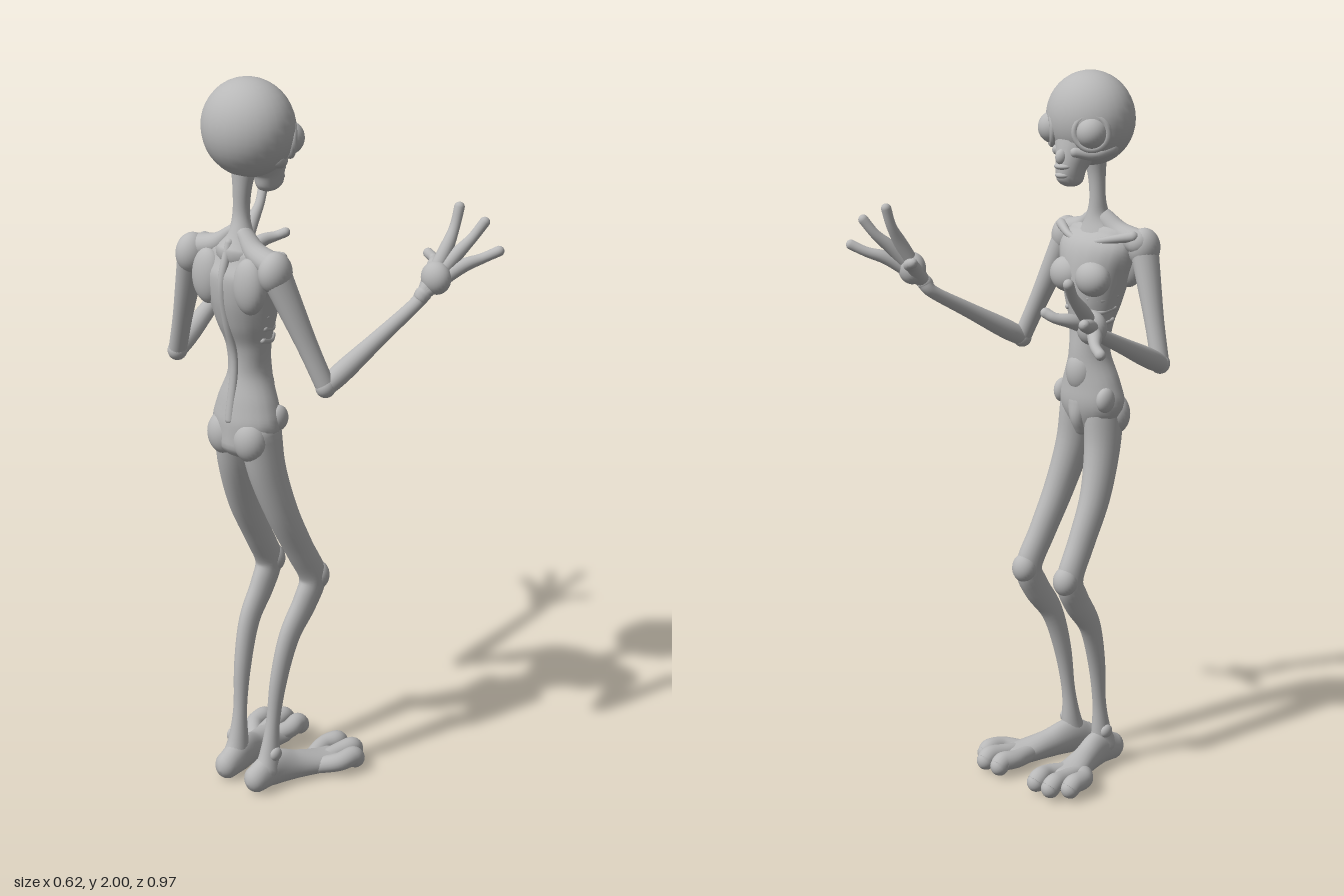
import * as THREE from 'three';

const skin = new THREE.MeshStandardMaterial({ color: 0xb8b8b8 });
skin.name = 'grey skin';
const MID = 0.036; // z of the body's own centre plane

// Loft with rounded ends. Points are [x, y, z, ra, rb]; rb lies along z.
function loftGeometry(pts, seg = 20, steps = 6, endCap = 1) {
  const pos = new THREE.CatmullRomCurve3(pts.map(p => new THREE.Vector3(p[0], p[1], p[2])), false, 'catmullrom');
  const rad = new THREE.CatmullRomCurve3(pts.map(p => new THREE.Vector3(p[3], p[4], 0)), false, 'catmullrom');
  const n = (pts.length - 1) * steps, rings = [];
  for (let i = 5; i > 0; i--) rings.push([0, -i * Math.PI / 10]);
  for (let i = 0; i <= n; i++) rings.push([i / n, 0]);
  for (let i = 1; i <= 5; i++) rings.push([1, i * Math.PI / 10]);
  const verts = [], index = [];
  rings.forEach(([t, a], k) => {
    const T = pos.getTangent(t), r = rad.getPoint(t), P = pos.getPoint(t);
    const B = new THREE.Vector3(0, 0, 1).addScaledVector(T, -T.z).normalize();
    const A = B.clone().cross(T);
    P.addScaledVector(T, Math.sin(a) * Math.min(r.x, r.y) * endCap);
    const c = Math.max(Math.cos(a), 0.002);
    for (let j = 0; j < seg; j++) {
      const th = j / seg * Math.PI * 2;
      const v = P.clone().addScaledVector(A, r.x * c * Math.cos(th)).addScaledVector(B, r.y * c * Math.sin(th));
      verts.push(v.x, v.y, v.z);
      if (k < rings.length - 1) {
        const a0 = k * seg + j, a1 = k * seg + (j + 1) % seg;
        index.push(a0, a1, a0 + seg, a1, a1 + seg, a0 + seg);
      }
    }
  });
  const g = new THREE.BufferGeometry();
  g.setAttribute('position', new THREE.Float32BufferAttribute(verts, 3));
  g.setIndex(index);
  g.computeVertexNormals();
  return g;
}

export function createModel() {
  const root = new THREE.Group();
  root.name = 'figure';
  const add = (name, geo, parent = root) => {
    const m = new THREE.Mesh(geo, skin);
    m.name = name;
    parent.add(m);
    return m;
  };
  const loft = (name, pts, parent, cap = 1) => add(name, loftGeometry(pts, 20, 6, cap), parent);
  const ball = (name, p, r, parent) => {
    const m = add(name, new THREE.SphereGeometry(1, 28, 20), parent);
    m.position.set(...p);
    m.scale.set(...r);
    return m;
  };

  // Head
  const head = new THREE.Group();
  head.name = 'head';
  root.add(head);
  ball('skull', [-0.2, 1.872, MID], [0.114, 0.128, 0.13], head);
  loft('muzzle', [
    [-0.165, 1.83, MID, 0.07, 0.085], [-0.142, 1.785, MID, 0.055, 0.06],
    [-0.128, 1.75, MID, 0.046, 0.043], [-0.123, 1.718, MID, 0.042, 0.033]], head, 0.8);
  ball('nose', [-0.092, 1.775, MID], [0.019, 0.022, 0.016], head);
  ball('upperLip', [-0.1, 1.75, MID], [0.025, 0.011, 0.028], head);
  ball('lowerLip', [-0.1, 1.726, MID], [0.024, 0.011, 0.024], head);
  for (const s of [1, -1]) {
    ball('eye', [-0.133, 1.845, MID + s * 0.075], [0.043, 0.044, 0.043], head);
    const rim = add('eyeRim', new THREE.TorusGeometry(0.045, 0.01, 10, 32), head);
    rim.position.set(-0.127, 1.845, MID + s * 0.078);
    rim.lookAt(0.1, 1.83, MID + s * 0.25);
    loft('cheekbone', [[-0.11, 1.79, MID + s * 0.035, 0.015, 0.015],
      [-0.15, 1.785, MID + s * 0.065, 0.018, 0.018], [-0.19, 1.8, MID + s * 0.09, 0.02, 0.02]], head);
  }

  // Neck and torso
  loft('neck', [
    [-0.215, 1.79, MID, 0.035, 0.04], [-0.222, 1.72, MID - 0.002, 0.025, 0.026],
    [-0.224, 1.65, MID - 0.004, 0.023, 0.023], [-0.23, 1.6, MID, 0.034, 0.035],
    [-0.236, 1.555, MID, 0.055, 0.07]]);
  loft('torso', [
    [-0.225, 1.02, MID, 0.065, 0.075], [-0.212, 1.08, MID, 0.075, 0.104],
    [-0.207, 1.14, MID, 0.07, 0.09], [-0.2, 1.22, MID, 0.06, 0.058],
    [-0.205, 1.3, MID, 0.057, 0.065], [-0.213, 1.37, MID, 0.075, 0.085],
    [-0.22, 1.44, MID, 0.085, 0.105], [-0.228, 1.51, MID, 0.078, 0.125],
    [-0.238, 1.555, MID, 0.045, 0.11]], root, 0.6);
  loft('groin', [[-0.165, 1.09, MID, 0.03, 0.045], [-0.165, 1.045, MID, 0.032, 0.028],
    [-0.18, 1.01, MID, 0.03, 0.02]]);
  ball('belly', [-0.168, 1.17, MID], [0.04, 0.06, 0.045]);
  loft('spine', [[-0.27, 1.58, MID, 0.014, 0.012], [-0.3, 1.48, MID, 0.012, 0.012],
    [-0.283, 1.37, MID, 0.012, 0.012], [-0.258, 1.26, MID, 0.01, 0.012], [-0.277, 1.1, MID, 0.012, 0.014]]);
  for (const s of [1, -1]) {
    const z = d => MID + s * d;
    ball('chestMuscle', [-0.163, 1.44, z(0.05)], [0.043, 0.05, 0.055]);
    ball('shoulderBlade', [-0.275, 1.48, z(0.075)], [0.035, 0.075, 0.05]);
    ball('buttock', [-0.248, 1.045, z(0.048)], [0.044, 0.06, 0.05]);
    ball('hipBone', [-0.18, 1.1, z(0.085)], [0.03, 0.035, 0.022]);
    loft('collarbone', [[-0.178, 1.53, z(0.015), 0.011, 0.011],
      [-0.185, 1.545, z(0.07), 0.01, 0.01], [-0.225, 1.56, z(0.14), 0.015, 0.015]]);
    loft('trapezius', [[-0.235, 1.6, z(0.02), 0.026, 0.02],
      [-0.245, 1.56, z(0.07), 0.032, 0.03], [-0.25, 1.54, z(0.14), 0.038, 0.035]]);
    for (let i = 0; i < 3; i++) // faint ribs
      loft('rib', [[-0.155, 1.385 - i * 0.035, z(0.04), 0.008, 0.008],
        [-0.18, 1.38 - i * 0.035, z(0.068 - i * 0.006), 0.008, 0.008],
        [-0.22, 1.39 - i * 0.035, z(0.083 - i * 0.008), 0.008, 0.008]]);
  }

  // Arms and hands: each pose is given by its joints and fingertips, thumb first
  const arms = [
    { name: 'left', shoulder: [-0.25, 1.525, 0.178], elbow: [-0.175, 1.225, 0.285], wrist: [0.115, 1.39, 0.332],
      palm: [0.165, 1.46, 0.362],
      tips: [[0.235, 1.495, 0.275], [0.25, 1.635, 0.365], [0.28, 1.6, 0.427], [0.292, 1.527, 0.468]] },
    { name: 'right', shoulder: [-0.265, 1.525, -0.108], elbow: [-0.23, 1.225, -0.208], wrist: [0.1, 1.375, -0.295],
      palm: [0.155, 1.405, -0.335],
      tips: [[0.245, 1.445, -0.26], [0.293, 1.545, -0.393], [0.293, 1.452, -0.45], [0.262, 1.375, -0.475]] }];
  for (const arm of arms) {
    const g = new THREE.Group();
    g.name = arm.name + 'Arm';
    root.add(g);
    const mix = (a, b, t) => a.map((v, i) => v + (b[i] - v) * t);
    const { shoulder: S, elbow: E, wrist: W, palm: P } = arm;
    ball('shoulder', S, [0.047, 0.055, 0.042], g);
    loft('upperArm', [[...S, 0.043, 0.036], [...mix(S, E, 0.3), 0.036, 0.031],
      [...mix(S, E, 0.65), 0.029, 0.025], [...E, 0.026, 0.024]], g);
    ball('elbow', E, [0.028, 0.028, 0.026], g);
    loft('forearm', [[...E, 0.025, 0.025], [...mix(E, W, 0.2), 0.028, 0.028],
      [...mix(E, W, 0.6), 0.022, 0.022], [...W, 0.018, 0.019], [...mix(W, P, 0.4), 0.022, 0.022]], g);
    // Palm spans from the wrist to the knuckles
    ball('palm', P, [0.036, 0.045, 0.043], g);
    arm.tips.forEach((tip, i) => {
      const knuckle = mix(P, tip, i ? 0.36 : 0.4);
      const bend = mix(P, tip, 0.7);
      bend[0] += i ? 0.008 : 0.014;
      loft(i ? 'finger' : 'thumb', [[...mix(W, P, 0.45), 0.019, 0.019], [...knuckle, 0.019, 0.019],
        [...bend, 0.014, 0.014], [...tip, 0.014, 0.014]], g);
    });
  }

  // Legs and feet
  for (const side of [1, -1]) {
    const g = new THREE.Group();
    g.name = side > 0 ? 'leftLeg' : 'rightLeg';
    root.add(g);
    const place = p => side > 0 ? p : [p[0], p[1], 0.086 - p[2], ...p.slice(3)];
    const placeToe = p => side > 0 ? p : [p[0], p[1], 0.07 - p[2], ...p.slice(3)];
    loft('leg', [
      [-0.217, 1.06, 0.09, 0.064, 0.048], [-0.202, 0.95, 0.1, 0.055, 0.046],
      [-0.16, 0.82, 0.115, 0.047, 0.039], [-0.1, 0.7, 0.122, 0.042, 0.034],
      [-0.053, 0.605, 0.127, 0.041, 0.033], [-0.08, 0.535, 0.125, 0.041, 0.028],
      [-0.137, 0.45, 0.12, 0.034, 0.025], [-0.172, 0.33, 0.113, 0.027, 0.022],
      [-0.19, 0.2, 0.107, 0.02, 0.019], [-0.2, 0.11, 0.105, 0.03, 0.026],
      [-0.21, 0.06, 0.105, 0.042, 0.033]].map(place), g);
    ball('kneecap', place([-0.036, 0.603, 0.127]), [0.035, 0.042, 0.036], g);
    ball('ankleBone', place([-0.2, 0.11, 0.127]), [0.02, 0.02, 0.014], g);
    loft('foot', [
      [-0.25, 0.042, 0.1, 0.04, 0.034], [-0.19, 0.055, 0.105, 0.053, 0.034],
      [-0.12, 0.044, 0.122, 0.042, 0.036], [-0.05, 0.035, 0.142, 0.033, 0.046],
      [0, 0.03, 0.153, 0.029, 0.055]].map(place), g);
    for (const [x, z] of [[0.078, 0.112], [0.078, 0.17], [0.04, 0.21]])
      loft('toe', [[-0.06, 0.034, 0.125 + (z - 0.112) * 0.4, 0.024, 0.024],
        [x - 0.06, 0.042, z - 0.008, 0.026, 0.026], [x - 0.015, 0.045, z, 0.028, 0.027],
        [x, 0.034, z, 0.028, 0.026]].map(placeToe), g);
  }
  return root;
}
